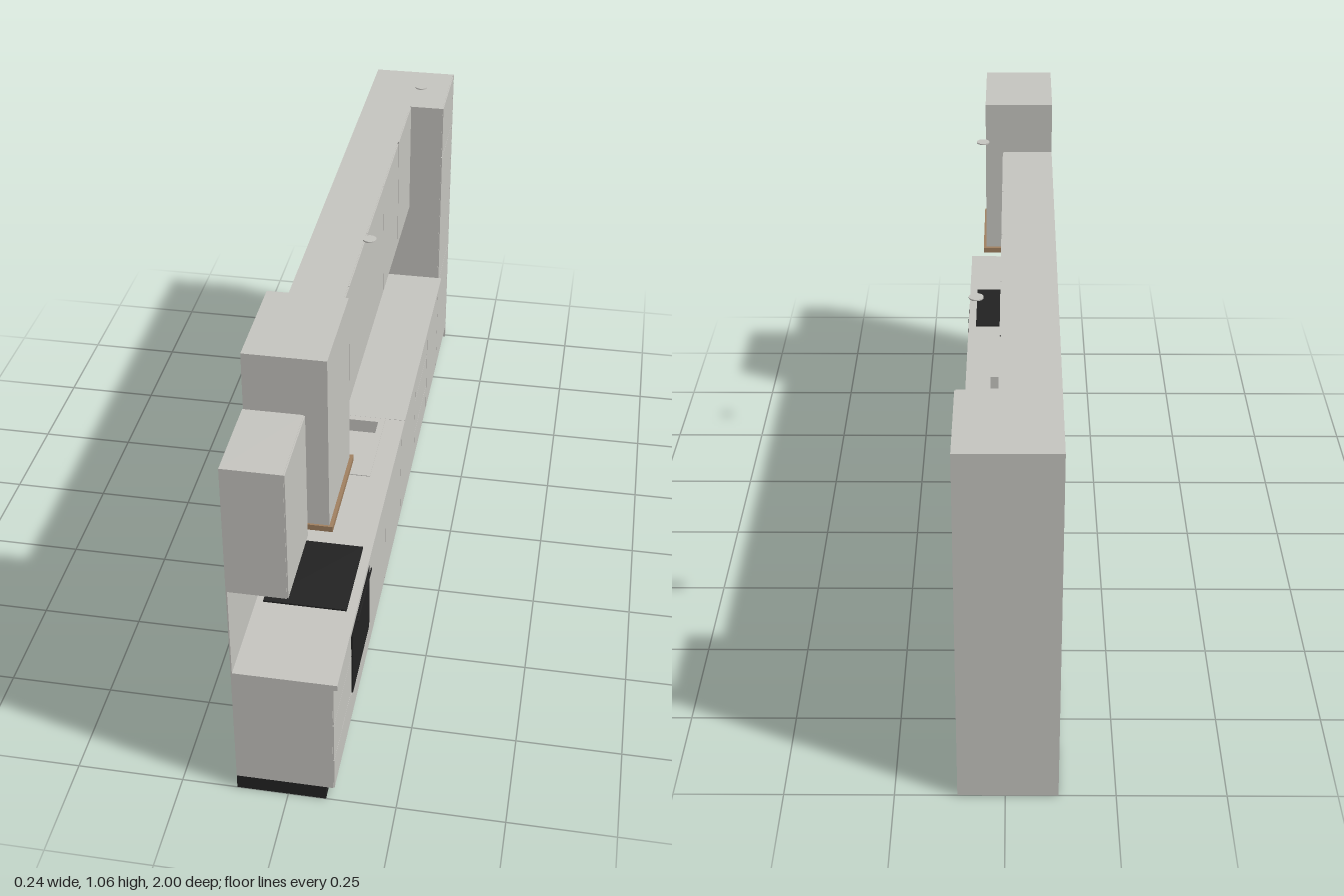
import * as THREE from 'three';

const mat = (name, color) => Object.assign(new THREE.MeshStandardMaterial({ color }), { name });

export function createModel() {
  const grey = mat('cabinet grey', 0xc5c4bf);
  const black = mat('black', 0x222222);
  const brown = mat('hood wood', 0xa08060);
  const seam = mat('seam grey', 0x555553);
  const root = new THREE.Group();
  root.name = 'kitchen';

  const add = (name, geo, m) => {
    const mesh = new THREE.Mesh(geo, m);
    mesh.name = name;
    root.add(mesh);
    return mesh;
  };
  // Box given by its limits on each axis
  const box = (name, m, x0, x1, y0, y1, z0, z1) => {
    const mesh = add(name, new THREE.BoxGeometry(x1 - x0, y1 - y0, z1 - z0), m);
    mesh.position.set((x0 + x1) / 2, (y0 + y1) / 2, (z0 + z1) / 2);
    return mesh;
  };
  // Thin door or drawer front with a small gap around it
  const G = 0.0012, B = -0.12;
  const front = (name, x, y0, y1, z0, z1) =>
    box(name, grey, x - 0.003, x, y0 + G, y1 - G, z0 + G, z1 - G);

  // Plinth and floor-length end panel
  box('plinth', black, B, 0.088, 0, 0.038, -0.99, 1);
  box('endPanel', grey, B, 0.108, 0, 0.92, -1, -0.99);

  // Base cabinets, lower beneath the sink
  box('baseCabinetRight', grey, B, 0.105, 0.038, 0.345, -0.755, 0);
  box('sinkCabinet', grey, B, 0.105, 0.038, 0.325, 0, 0.26);
  box('baseCabinetLeft', grey, B, 0.105, 0.038, 0.345, 0.26, 1);
  box('sinkCabinetBack', grey, B, -0.08, 0.325, 0.345, 0, 0.26);

  // Base doors
  for (const [z0, z1] of [[0.27, 0.525], [0, 0.27], [-0.27, 0], [-0.755, -0.522]])
    front('baseDoor', 0.108, 0.038, 0.345, z0, z1);
  // Drawer stacks
  const levels = [0.038, 0.126, 0.236, 0.345];
  for (const [z0, z1] of [[0.775, 1], [-0.518, -0.27]])
    for (let i = 0; i < 3; i++) front('drawerFront', 0.108, levels[i], levels[i + 1], z0, z1);

  // Oven with bar handle
  front('ovenSurround', 0.108, 0.038, 0.108, 0.525, 0.775);
  box('ovenDoor', black, 0.1, 0.11, 0.11, 0.343, 0.533, 0.767);
  box('ovenHandle', black, 0.117, 0.12, 0.314, 0.319, 0.555, 0.745);
  for (const z of [0.575, 0.725]) box('handlePost', black, 0.109, 0.118, 0.315, 0.318, z - 0.002, z + 0.002);

  // Worktop in two lengths, one cut out for the sink
  box('worktopRight', grey, B, 0.117, 0.345, 0.36, -0.755, -0.001);
  const top = new THREE.Shape([[B, -1], [0.117, -1], [0.117, 0], [B, 0]].map(p => new THREE.Vector2(...p)));
  const rect = (x0, x1, z0, z1) =>
    [[x0, -z0], [x0, -z1], [x1, -z1], [x1, -z0]].map(p => new THREE.Vector2(...p));
  top.holes.push(new THREE.Path(rect(-0.068, 0.048, 0.02, 0.238)));
  const worktop = add('worktopLeft', new THREE.ExtrudeGeometry(top, { depth: 0.015, bevelEnabled: false }), grey);
  worktop.rotation.x = -Math.PI / 2;
  worktop.position.y = 0.345;

  // Sink rim and basin walls
  const rim = new THREE.Shape(rect(-0.085, 0.065, 0.002, 0.256));
  rim.holes.push(new THREE.Path(rect(-0.068, 0.048, 0.02, 0.238)));
  const sink = add('sink', new THREE.ExtrudeGeometry(rim, { depth: 0.037, bevelEnabled: false }), grey);
  sink.rotation.x = -Math.PI / 2;
  sink.position.y = 0.325;

  // Swan-neck tap
  const pts = [[-0.105, 0.365], [-0.105, 0.41], [-0.105, 0.46]];
  for (let i = 1; i <= 8; i++) {
    const a = Math.PI * (1 - i / 8);
    pts.push([-0.069 + 0.036 * Math.cos(a), 0.465 + 0.036 * Math.sin(a)]);
  }
  pts.push([-0.033, 0.452]);
  const path = new THREE.CatmullRomCurve3(pts.map(([x, y]) => new THREE.Vector3(x, y, 0.13)));
  add('tapSpout', new THREE.TubeGeometry(path, 40, 0.004, 10), grey);
  add('tapBase', new THREE.CylinderGeometry(0.009, 0.009, 0.018, 20), grey).position.set(-0.105, 0.369, 0.13);

  // Hob
  box('hob', black, -0.1, 0.095, 0.36, 0.364, 0.535, 0.762);

  // Splashback
  box('splashback', grey, B, -0.117, 0.36, 0.595, -0.755, 1);

  // Tall cabinet
  box('tallCabinet', grey, B, 0.105, 0.038, 0.92, -0.99, -0.755);
  const tall = [0.038, 0.35, 0.766, 0.92];
  for (let i = 0; i < 3; i++) front('tallDoor', 0.108, tall[i], tall[i + 1], -0.99, -0.755);

  // Wall cabinets either side of the hood
  box('wallCabinetRight', grey, B, 0.012, 0.595, 0.92, -0.755, 0.52);
  box('wallCabinetLeft', grey, B, 0.012, 0.595, 0.92, 0.79, 1);
  for (const [z0, z1] of [[0.79, 1], [0.26, 0.52], [0, 0.26], [-0.26, 0], [-0.518, -0.26], [-0.755, -0.522]])
    front('wallDoor', 0.015, 0.595, 0.92, z0, z1);

  // Dark joints
  box('baseJoint', seam, 0.104, 0.1065, 0.04, 0.345, -0.523, -0.517);
  box('wallJoint', seam, 0.011, 0.0135, 0.597, 0.919, -0.523, -0.517);

  // Extractor hood
  box('hoodChimney', grey, B, 0.062, 0.625, 1.055, 0.53, 0.783);
  box('hoodPlate', brown, B, 0.07, 0.611, 0.625, 0.52, 0.788);

  // Ceiling spots
  for (const z of [0.265, -0.595])
    add('ceilingSpot', new THREE.CylinderGeometry(0.016, 0.016, 0.003, 24), grey).position.set(0.064, 1.055, z);

  return root;
}
